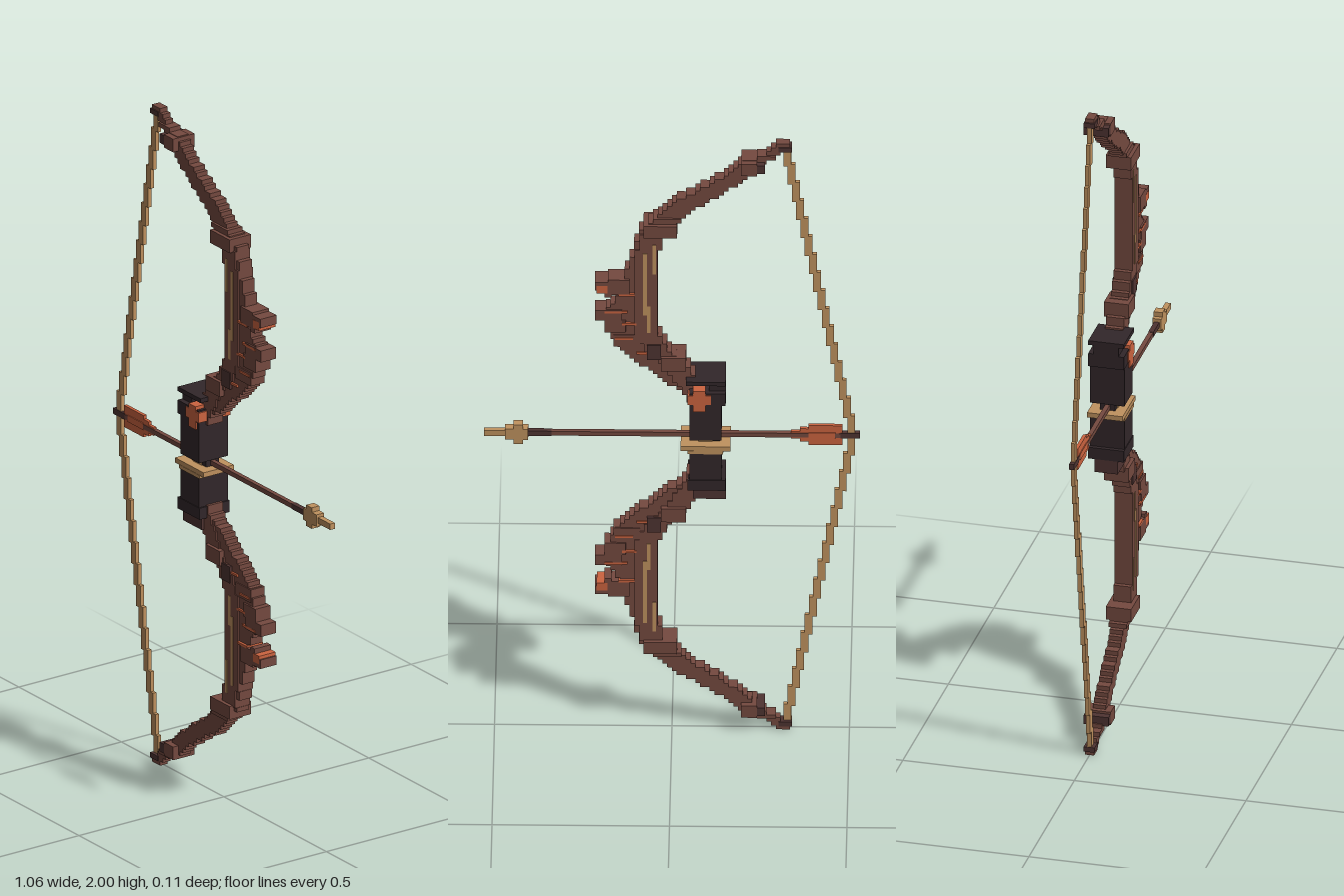
import * as THREE from 'three';
import { mergeGeometries } from 'three/addons/utils/BufferGeometryUtils.js';

const V = 0.0133; // block size
const mat = (name, color) => Object.assign(new THREE.MeshStandardMaterial({ color }), { name });

export function createModel() {
  const brown = mat('brown wood', 0x754a40);
  const dark = mat('dark grip', 0x32272a);
  const umber = mat('dark wood', 0x4f3432);
  const tan = mat('tan cord', 0xc0925f);
  const orange = mat('orange', 0xcc6440);
  const group = new THREE.Group();
  group.name = 'bowAndArrow';

  // box from x range, y range and half depth
  const box = (x0, x1, y0, y1, d) =>
    new THREE.BoxGeometry(x1 - x0, y1 - y0, d * 2).translate((x0 + x1) / 2, (y0 + y1) / 2, 0);
  const add = (name, material, boxes) => {
    const m = new THREE.Mesh(mergeGeometries(boxes.map(b => box(...b))), material);
    m.name = name;
    group.add(m);
  };
  const flip = ([x0, x1, y0, y1, d]) => [x0, x1, 2 - y1, 2 - y0, d];
  const addPair = (name, material, boxes) => {
    add('upper' + name, material, boxes);
    add('lower' + name, material, boxes.map(flip));
  };

  // limb outline: y, left edge, right edge
  const outline = [
    [1.12, -0.10, -0.045], [1.15, -0.10, -0.03], [1.20, -0.07, 0.03], [1.25, -0.04, 0.09],
    [1.30, 0.01, 0.15], [1.35, 0.035, 0.17], [1.38, 0.035, 0.19], [1.44, 0.035, 0.19],
    [1.45, 0.035, 0.16], [1.54, 0.035, 0.14], [1.62, 0.04, 0.11], [1.70, 0.02, 0.09],
    [1.75, -0.03, 0.05], [1.80, -0.10, 0.0], [1.85, -0.17, -0.09], [1.90, -0.23, -0.165],
    [1.94, -0.265, -0.20], [1.96, -0.30, -0.25], [1.98, -0.335, -0.285], [2.0, -0.335, -0.305]
  ];
  const edges = y => {
    let i = 1;
    while (i < outline.length - 1 && outline[i][0] < y) i++;
    const a = outline[i - 1], b = outline[i], t = (y - a[0]) / (b[0] - a[0]);
    return [1, 2].map(k => Math.round((a[k] + (b[k] - a[k]) * t) / V) * V);
  };

  // stepped rows: thick spine, thinner wing behind it
  const spine = [], wing = [];
  for (let y = 1.122; y < 1.99; y += V) {
    const [l, r] = edges(y + V / 2), top = Math.min(y + V, 2);
    const cut = y > 1.72 ? r : Math.min(r, l + 0.065);
    spine.push([l, cut, y, top, y > 1.95 ? 0.013 : y > 1.74 ? 0.019 : 0.026]);
    if (r - cut > 0.005) wing.push([cut, r, y, top, 0.021]);
  }
  addPair('LimbSpine', brown, spine);
  addPair('LimbWing', brown, wing);

  // collars and feather ends
  addPair('LimbCollars', brown, [
    [-0.24, -0.195, 1.905, 1.945, 0.037], [-0.015, 0.08, 1.69, 1.73, 0.037],
    [-0.04, 0.03, 1.235, 1.28, 0.036]
  ]);
  addPair('DarkCollars', umber, [
    [-0.262, -0.238, 1.912, 1.94, 0.036], [0.03, 0.07, 1.27, 1.32, 0.03],
    [-0.338, -0.3, 1.973, 1.988, 0.016]
  ]);
  addPair('FeatherEnds', brown, [
    [0.12, 0.18, 1.49, 1.54, 0.028], [0.17, 0.217, 1.505, 1.532, 0.028],
    [0.17, 0.19, 1.48, 1.505, 0.028], [0.14, 0.217, 1.40, 1.435, 0.026],
    [0.13, 0.19, 1.36, 1.40, 0.026], [0.09, 0.165, 1.31, 1.35, 0.024]
  ]);
  addPair('FeatherMarks', orange, [
    [0.182, 0.212, 1.495, 1.52, 0.0285], [0.105, 0.15, 1.485, 1.492, 0.0285],
    [0.125, 0.19, 1.425, 1.432, 0.0265], [0.10, 0.14, 1.385, 1.392, 0.0265],
    [0.11, 0.16, 1.335, 1.342, 0.0265], [0.06, 0.10, 1.285, 1.292, 0.0265]
  ]);
  addPair('LimbInlay', tan, [
    [0.07, 0.081, 1.42, 1.63, 0.0275], [0.06, 0.07, 1.36, 1.45, 0.0275],
    [0.045, 0.054, 1.56, 1.66, 0.0275]
  ]);

  // grip
  add('grip', dark, [
    [-0.14, -0.05, 1.01, 1.17, 0.05], [-0.14, -0.05, 0.85, 0.97, 0.05],
    [-0.135, -0.055, 0.97, 1.01, 0.022],
    [-0.152, -0.05, 1.13, 1.17, 0.052], [-0.152, -0.105, 1.17, 1.197, 0.036],
    [-0.152, -0.04, 1.197, 1.21, 0.052], [-0.152, -0.045, 0.84, 0.875, 0.052]
  ]);
  add('gripFoot', umber, [[-0.152, -0.06, 0.80, 0.84, 0.034]]);
  add('gripOrnament', orange, [
    [-0.095, -0.06, 1.11, 1.18, 0.055], [-0.11, -0.045, 1.135, 1.165, 0.055]
  ]);
  add('arrowRest', tan, [
    [-0.165, -0.025, 0.975, 0.99, 0.052], [-0.145, -0.045, 0.965, 0.976, 0.053],
    [-0.115, -0.075, 0.99, 1.012, 0.025]
  ]);

  // stepped string
  const string = [], steps = 16;
  for (let i = 0; i < steps; i++) {
    const x = -0.505 + 0.18 * i / (steps - 1), y = 1.0 + 0.98 * i / steps;
    string.push([x - 0.011, x + 0.011, y, y + 0.98 / steps + 0.006, 0.006]);
  }
  addPair('String', tan, string);

  // arrow
  add('arrowShaft', brown, [[-0.48, 0.42, 0.993, 1.007, 0.0067]]);
  add('arrowNock', umber, [[-0.53, -0.475, 0.991, 1.009, 0.0072], [0.34, 0.41, 0.992, 1.008, 0.0074]]);
  add('arrowFletching', orange, [
    [-0.48, -0.385, 0.967, 1.033, 0.005], [-0.385, -0.36, 0.978, 1.022, 0.005],
    [-0.36, -0.335, 0.988, 1.012, 0.005], [-0.46, -0.385, 0.99, 1.01, 0.0075]
  ]);
  add('arrowHead', tan, [
    [0.405, 0.47, 0.982, 1.018, 0.013], [0.42, 0.447, 0.968, 1.032, 0.013],
    [0.47, 0.53, 0.991, 1.009, 0.008]
  ]);
  return group;
}
